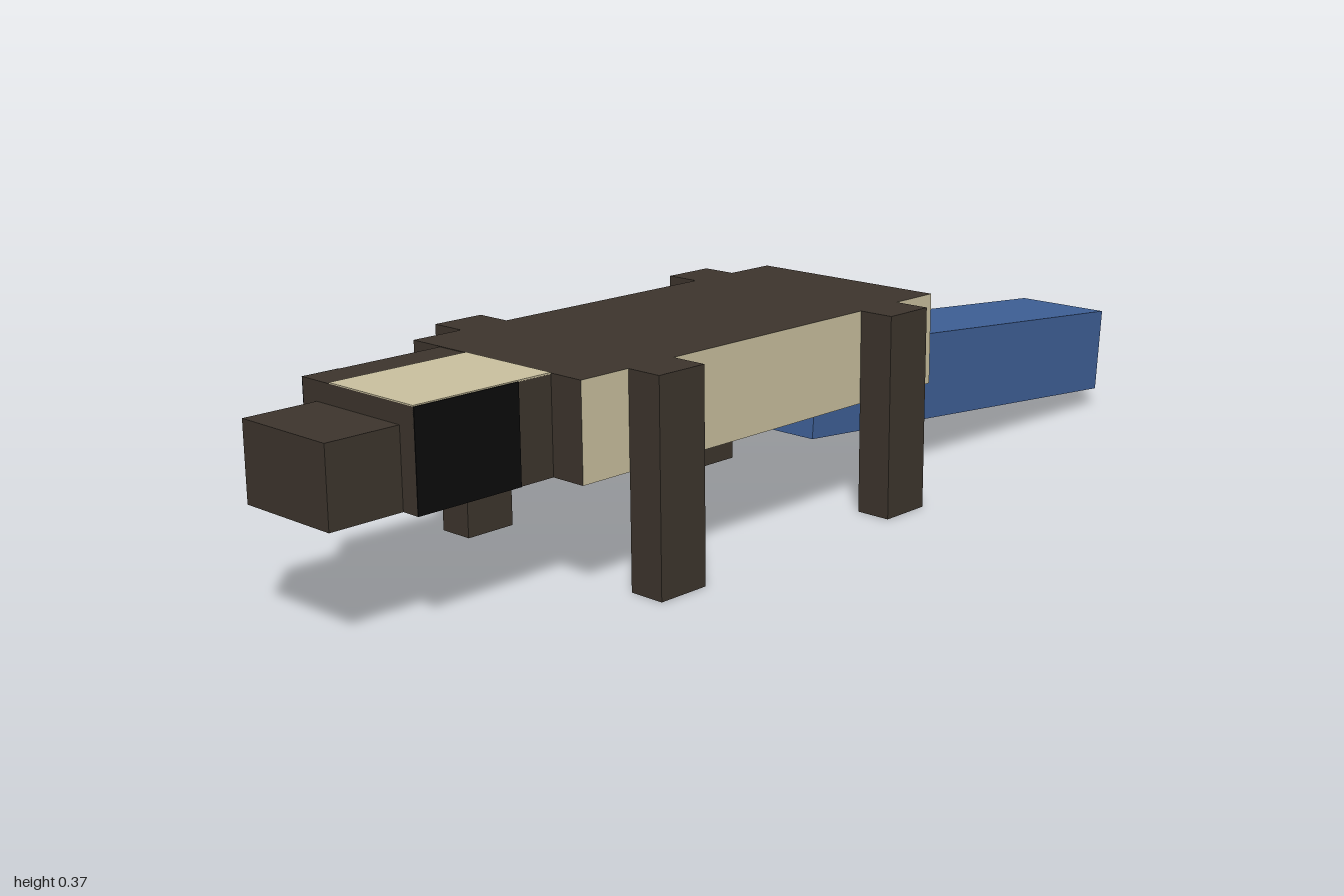
import * as THREE from 'three';

const mat = (name, color) => {
  const m = new THREE.MeshStandardMaterial({ color });
  m.name = name;
  return m;
};

export function createModel() {
  const group = new THREE.Group();
  const brown = mat('darkBrown', 0x3d352d);
  const tan = mat('tan', 0xcac09f);
  const grey = mat('bellyGrey', 0x827d72);
  const black = mat('black', 0x0b0b0b);
  const blue = mat('blue', 0x3e6097);

  // Box given by its lower and upper corners
  const box = (name, material, [x0, y0, z0], [x1, y1, z1]) => {
    const mesh = new THREE.Mesh(new THREE.BoxGeometry(x1 - x0, y1 - y0, z1 - z0), material);
    mesh.position.set((x0 + x1) / 2, (y0 + y1) / 2, (z0 + z1) / 2);
    mesh.name = name;
    group.add(mesh);
    return mesh;
  };

  // Body: tan flanks, grey belly (faces: +x, -x, top, bottom, front, back)
  box('body', [tan, tan, brown, grey, brown, brown], [-0.2, 0.2, -0.267], [0.2, 0.367, 0.6]);

  // Head and snout
  box('head', brown, [-0.133, 0.2, 0.6], [0.133, 0.366, 0.867]);
  box('snout', brown, [-0.1, 0.2, 0.867], [0.1, 0.333, 1]);

  // Painted patches on the head
  box('crownPatch', tan, [-0.067, 0.365, 0.6], [0.133, 0.368, 0.867]);
  box('leftCheekPatch', black, [0.131, 0.2, 0.667], [0.135, 0.366, 0.867]);
  box('rightCheekPatch', black, [-0.135, 0.2, 0.8], [-0.131, 0.366, 0.867]);

  // Four legs against the flanks
  for (const [end, z] of [['front', 0.4], ['back', -0.167]]) {
    box(`${end}LeftLeg`, brown, [0.2, 0, z], [0.267, 0.367, z + 0.1]);
    box(`${end}RightLeg`, brown, [-0.267, 0, z], [-0.2, 0.367, z + 0.1]);
  }

  // Flat tail, drooping five degrees towards the back
  const tail = box('tail', blue, [-0.1, 0.077, -0.994], [0.1, 0.244, -0.061]);
  tail.rotation.x = -THREE.MathUtils.degToRad(5);

  return group;
}
